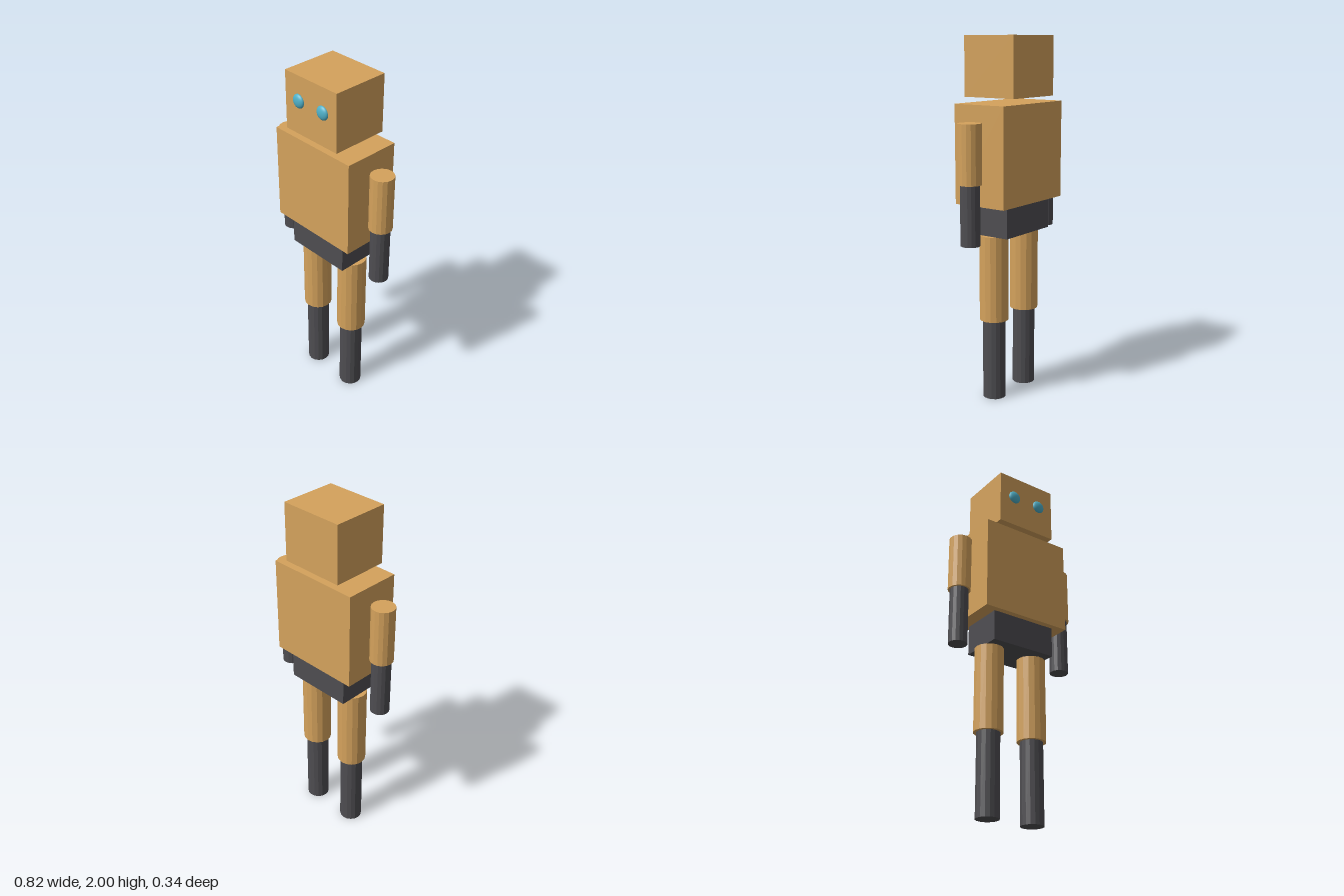
import * as THREE from 'three';

export function createModel() {
  const model = new THREE.Group();
  model.name = 'blockRobot';

  const material = (name, color) => {
    const m = new THREE.MeshStandardMaterial({ color });
    m.name = name;
    return m;
  };
  const tan = material('tan', 0xd4a25c);
  const charcoal = material('charcoal', 0x4e4d51);
  const blue = material('blue', 0x4fb0c8);
  const midZ = -0.011; // depth of the body's centre line

  function add(name, geometry, mat, x, y, z = midZ) {
    const mesh = new THREE.Mesh(geometry, mat);
    mesh.name = name;
    mesh.position.set(x, y, z);
    model.add(mesh);
    return mesh;
  }

  // Box spanning bottom to top
  const block = (name, width, depth, bottom, top, mat) =>
    add(name, new THREE.BoxGeometry(width, top - bottom, depth), mat, 0, (bottom + top) / 2);

  // Faceted limb segment: 16 flat sides
  function limb(name, x, radius, bottom, top, mat) {
    const cylinder = new THREE.CylinderGeometry(radius, radius, top - bottom, 16).toNonIndexed();
    cylinder.computeVertexNormals();
    add(name, cylinder, mat, x, (bottom + top) / 2);
  }

  // Head, torso and hips
  block('head', 0.367, 0.323, 1.677, 2, tan);
  block('torso', 0.538, 0.323, 1.107, 1.645, tan);
  block('hips', 0.39, 0.256, 0.935, 1.107, charcoal);

  // Mirrored limbs and eyes
  for (const [side, s] of [['left', 1], ['right', -1]]) {
    limb(side + 'UpperArm', s * 0.345, 0.064, 1.238, 1.557, tan);
    limb(side + 'Forearm', s * 0.345, 0.053, 0.912, 1.238, charcoal);
    limb(side + 'Thigh', s * 0.141, 0.081, 0.455, 0.935, tan);
    limb(side + 'Shin', s * 0.141, 0.064, 0, 0.455, charcoal);

    // Flattened ball set into the face
    const eye = add(side + 'Eye', new THREE.SphereGeometry(0.038, 24, 16), blue, s * 0.086, 1.863, 0.151);
    eye.scale.z = 0.5;
  }

  return model;
}
